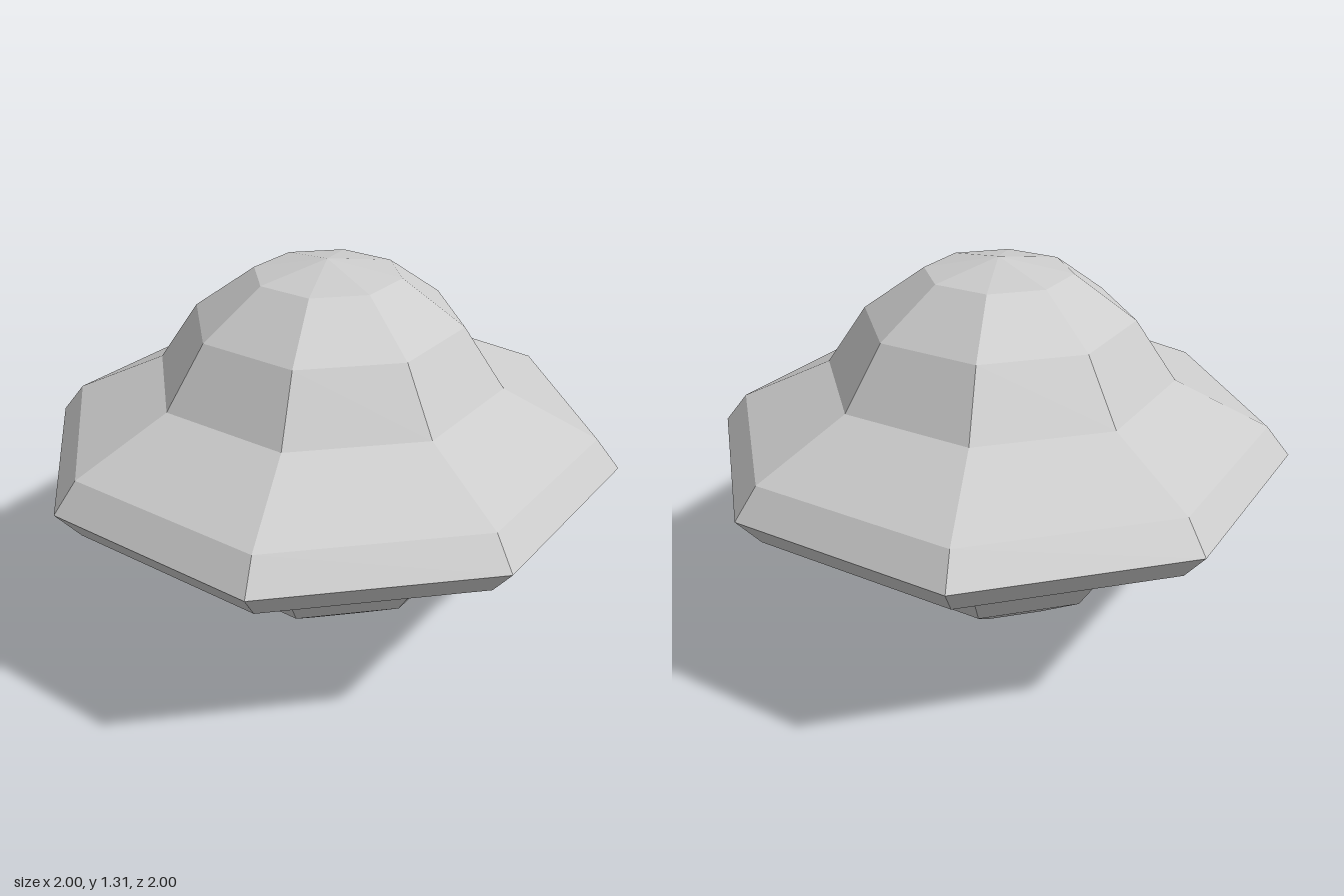
import * as THREE from 'three';

const SIDES = 8;
const MID = 0.655; // height of the widest edge

export function createModel() {
  const model = new THREE.Group();
  const material = new THREE.MeshStandardMaterial({ color: 0xcccccc, flatShading: true });

  // Octagonal turned part; profile runs bottom to top as [radius, height from the middle]
  const addTurned = (name, profile) => {
    const points = profile.map(([r, h]) => new THREE.Vector2(r, h));
    const mesh = new THREE.Mesh(new THREE.LatheGeometry(points, SIDES), material);
    mesh.name = name;
    mesh.position.y = MID;
    model.add(mesh);
  };
  const mirrored = (profile) => profile.map(([r, h]) => [r, -h]).reverse();

  const dome = [[0.6, 0.252], [0.46, 0.457], [0.25, 0.607], [0, 0.655]];
  const upperRim = [[1, 0], [0.92, 0.1], [0.6, 0.252]];

  // Domes above and below
  addTurned('upperDome', dome);
  addTurned('lowerDome', mirrored(dome));

  // Wide disc with a bevelled edge
  addTurned('discRim', [...mirrored(upperRim), ...upperRim.slice(1)]);

  return model;
}
